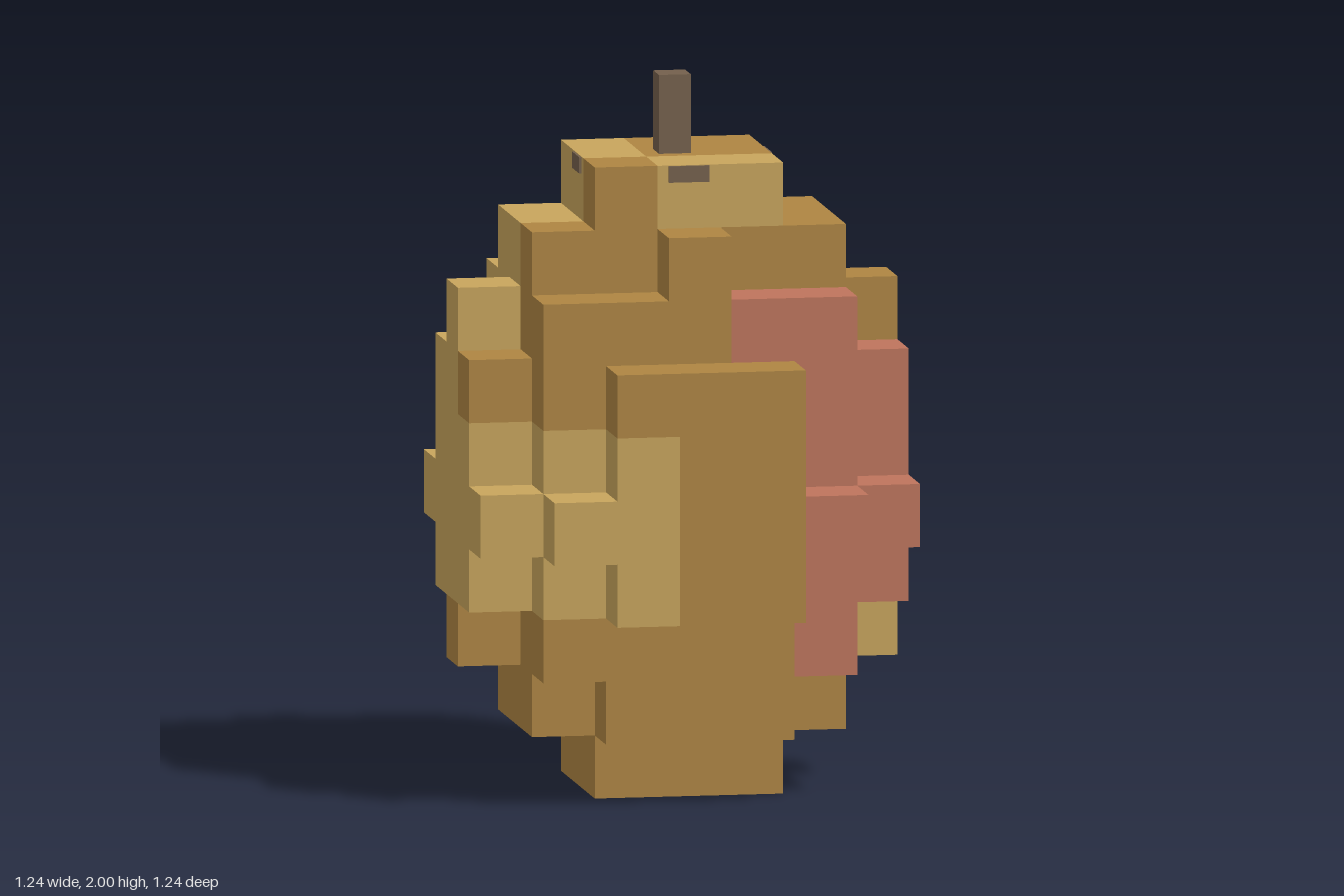
import * as THREE from 'three';
import { mergeGeometries } from 'three/addons/utils/BufferGeometryUtils.js';

const S = 2 / 11.25; // block size
const material = (name, color) => {
  const m = new THREE.MeshStandardMaterial({ color });
  m.name = name;
  return m;
};

// Is the block at column i, layer j, row k part of the fruit?
function filled(i, j, k) {
  const a = Math.abs(i), b = Math.abs(k);
  const lo = Math.min(a, b), hi = Math.max(a, b);
  if (j < 0 || j > 9 || hi > 3) return false;
  if (j === 0 || j === 9) return hi <= 1;
  if (j === 1) return hi <= 2 && lo <= 1;
  if (j === 8) return (a <= 2 && b <= 1) || (a === 0 && b === 2);
  if (hi <= 2) return true;
  // raised plates on the sides
  if (j === 4) return lo <= 2;
  if (j === 3 || j === 5 || j === 6) return lo <= 1;
  return a === 3 && b === 0; // layers 2 and 7
}

// Colour of each block: patches of tan and brown with a red cheek
function skin(i, j, k) {
  if (j >= 2 && j <= 7 && k >= 1 && i >= (j === 7 ? 1 : 2)) return 'red';
  let tan;
  if (j === 9) tan = k === 1 ? i >= 0 : i < 0;
  else if (j >= 6) tan = i < 0 && k < 1;
  else if (j >= 3) tan = i < 0 || (k <= -2 && !(i === 3 && j === 4));
  else tan = i >= 0 && k < 1;
  return tan ? 'tan' : 'brown';
}

const DIRS = [[1, 0, 0], [-1, 0, 0], [0, 1, 0], [0, -1, 0], [0, 0, 1], [0, 0, -1]];

// One square of skin on the side of a block that faces direction d
function face(i, j, k, d) {
  const g = new THREE.PlaneGeometry(S, S);
  const n = new THREE.Vector3(...d);
  g.applyQuaternion(new THREE.Quaternion().setFromUnitVectors(new THREE.Vector3(0, 0, 1), n));
  return g.translate((i + d[0] / 2) * S, (j + 0.5 + d[1] / 2) * S, (k + d[2] / 2) * S);
}

export function createModel() {
  const model = new THREE.Group();
  model.name = 'blockFruit';
  const skins = {
    tan: material('tan skin', 0xc8a55c),
    brown: material('brown skin', 0xae8542),
    red: material('red cheek', 0xbe745c),
  };
  const bark = material('stem bark', 0x74604c);

  // Fruit body: only the exposed faces
  const faces = { tan: [], brown: [], red: [] };
  for (let j = 0; j < 10; j++)
    for (let i = -3; i <= 3; i++)
      for (let k = -3; k <= 3; k++) {
        if (!filled(i, j, k)) continue;
        for (const d of DIRS)
          if (!filled(i + d[0], j + d[1], k + d[2])) faces[skin(i, j, k)].push(face(i, j, k, d));
      }
  for (const key in faces) {
    const mesh = new THREE.Mesh(mergeGeometries(faces[key]), skins[key]);
    mesh.name = key + 'Skin';
    model.add(mesh);
  }

  // Stem, and the cross at its foot whose ends show on the sides
  const addBox = (name, w, h, d, y) => {
    const mesh = new THREE.Mesh(new THREE.BoxGeometry(w, h, d), bark);
    mesh.position.y = y;
    mesh.name = name;
    model.add(mesh);
  };
  addBox('stem', 0.09, 0.27, 0.09, 1.865);
  addBox('stemFootAcross', 0.546, 0.046, 0.115, 1.753);
  addBox('stemFootAlong', 0.115, 0.046, 0.546, 1.753);
  return model;
}
